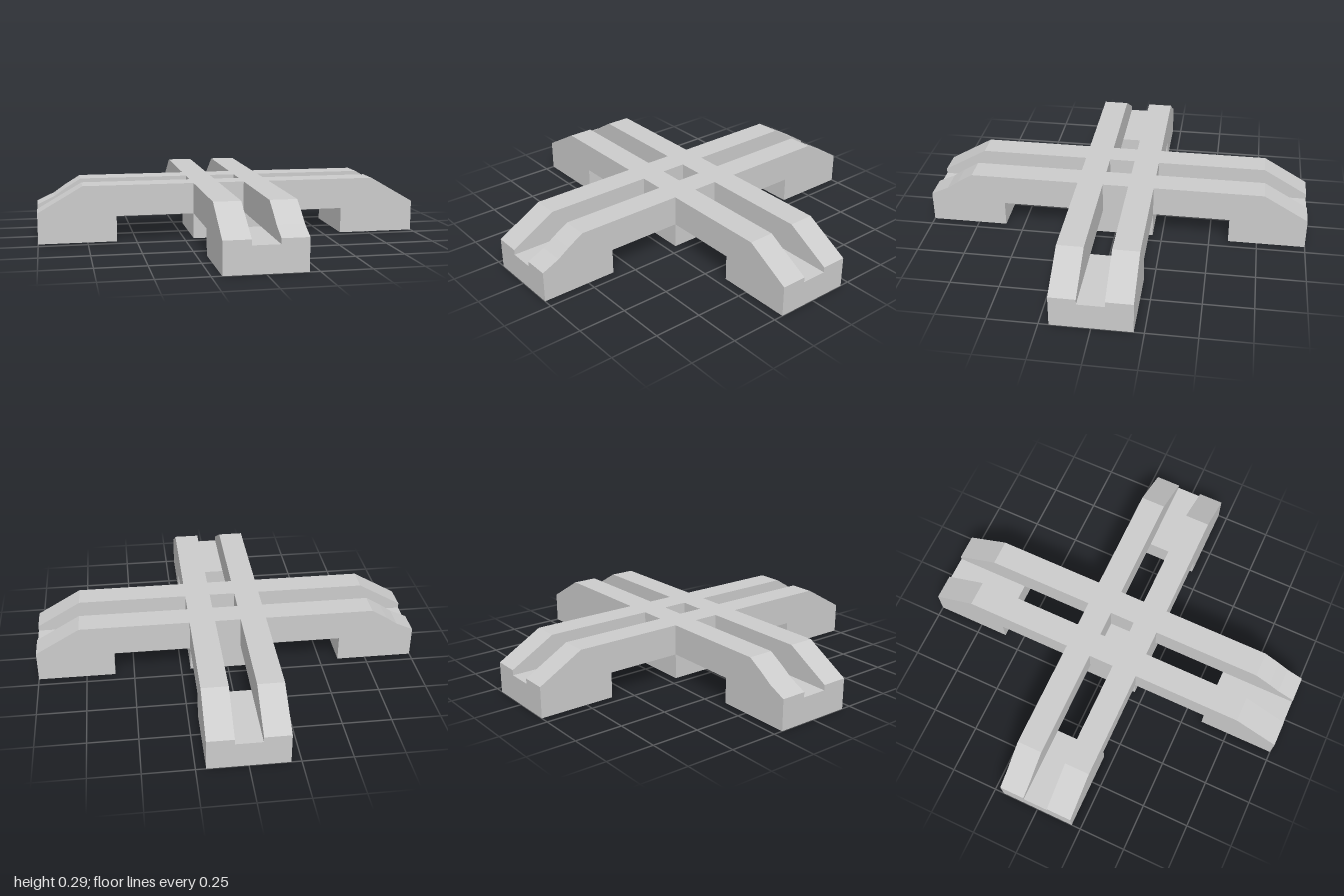
import * as THREE from 'three';

const HALF = 0.2;    // half width of an arm
const SLOT = 0.067;  // half width of the channel between rails
const FLOOR = 0.133; // channel floor and underside of the rails
const TOP = 0.293;

export function createModel() {
  const model = new THREE.Group();
  model.name = 'crossBase';
  const material = new THREE.MeshStandardMaterial({ color: 0xcccccc, flatShading: true });

  function addMesh(parent, name, geometry) {
    const mesh = new THREE.Mesh(geometry, material);
    mesh.name = name;
    parent.add(mesh);
    return mesh;
  }

  // Side profile of a rail with its foot, running outward along x
  function railGeometry(worn) {
    const points = [[HALF, FLOOR], [0.6, FLOOR], [0.6, 0], [1, 0], [1, 0.16]];
    if (worn) points.push([0.91, 0.202], [0.85, 0.244]);
    points.push([0.77, TOP], [HALF, TOP]);
    const shape = new THREE.Shape(points.map(([x, y]) => new THREE.Vector2(x, y)));
    return new THREE.ExtrudeGeometry(shape, { depth: HALF - SLOT, bevelEnabled: false });
  }

  // One arm: two rails and the channel block in the foot between them
  function addArm(name, angle, wornSide) {
    const arm = new THREE.Group();
    arm.name = name;
    for (const side of [-1, 1]) {
      const rail = addMesh(arm, side > 0 ? 'railA' : 'railB', railGeometry(side === wornSide));
      rail.position.z = side > 0 ? SLOT : -HALF;
    }
    const block = addMesh(arm, 'footChannel', new THREE.BoxGeometry(0.4, FLOOR, 2 * SLOT));
    block.position.set(0.8, FLOOR / 2, 0);
    arm.rotation.y = angle;
    model.add(arm);
  }

  addArm('leftArm', 0, 0);
  addArm('frontArm', -Math.PI / 2, -1);
  addArm('rightArm', Math.PI, 1);
  addArm('backArm', Math.PI / 2, 0);

  // Central foot under the crossing
  const foot = addMesh(model, 'centerFoot', new THREE.BoxGeometry(2 * HALF, FLOOR, 2 * HALF));
  foot.position.y = FLOOR / 2;

  // Crossing of the rails, with a square well in the middle
  const square = (s) => [[-s, -s], [s, -s], [s, s], [-s, s]].map(([x, y]) => new THREE.Vector2(x, y));
  const frame = new THREE.Shape(square(HALF));
  frame.holes.push(new THREE.Path(square(SLOT)));
  const hub = addMesh(model, 'railCrossing',
    new THREE.ExtrudeGeometry(frame, { depth: TOP - FLOOR, bevelEnabled: false }));
  hub.rotation.x = -Math.PI / 2;
  hub.position.y = FLOOR;

  return model;
}
